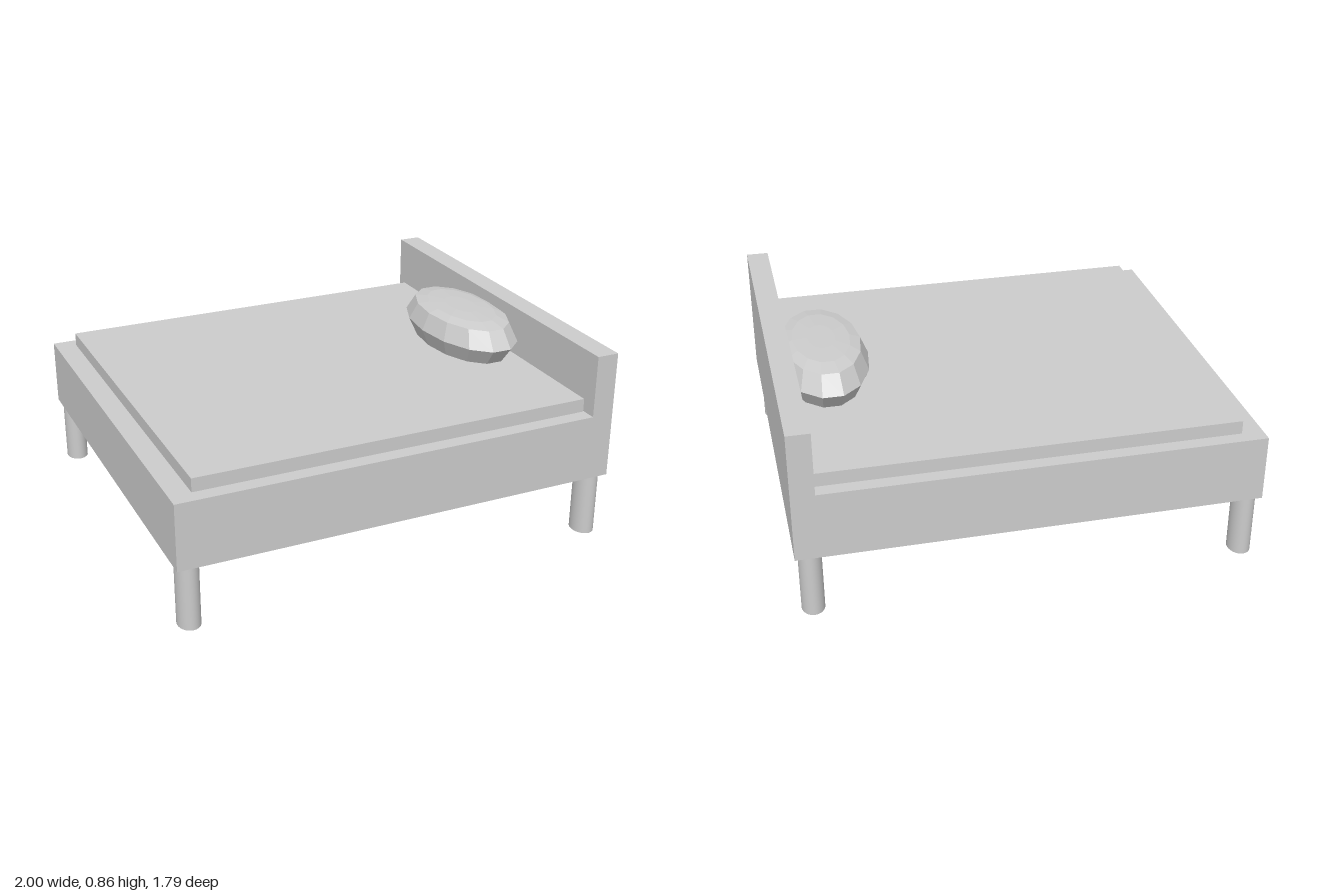
import * as THREE from 'three';

export function createModel() {
  const bed = new THREE.Group();
  bed.name = 'bed';
  const smooth = new THREE.MeshStandardMaterial({ color: 0xcccccc });
  const faceted = new THREE.MeshStandardMaterial({ color: 0xcccccc, flatShading: true });

  // Box given by its lower and upper limits on each axis
  function box(name, [x0, x1], [y0, y1], [z0, z1]) {
    const mesh = new THREE.Mesh(new THREE.BoxGeometry(x1 - x0, y1 - y0, z1 - z0), smooth);
    mesh.position.set((x0 + x1) / 2, (y0 + y1) / 2, (z0 + z1) / 2);
    mesh.name = name;
    bed.add(mesh);
  }
  box('frame', [-1, 1], [0.283, 0.58], [-0.897, 0.897]);
  box('headboard', [0.9, 1], [0.56, 0.86], [-0.897, 0.897]);
  box('mattress', [-0.905, 0.895], [0.54, 0.64], [-0.835, 0.83]);

  // Four legs with an oval section
  const legGeometry = new THREE.CylinderGeometry(1, 1, 0.285, 32);
  legGeometry.scale(0.049, 1, 0.062);
  for (const x of [-0.941, 0.935]) {
    for (const z of [-0.834, 0.834]) {
      const leg = new THREE.Mesh(legGeometry, smooth);
      leg.position.set(x, 0.1425, z);
      leg.name = 'leg';
      bed.add(leg);
    }
  }

  // Faceted pillow: an angular profile turned and stretched into an oval
  const profile = [
    [0, 0.636], [0.83, 0.638], [1, 0.72], [0.84, 0.8],
    [0.62, 0.815], [0.3, 0.82], [0, 0.82],
  ].map(([r, y]) => new THREE.Vector2(r, y));
  const pillowGeometry = new THREE.LatheGeometry(profile, 14, -Math.PI / 2);
  pillowGeometry.scale(0.205, 1, 0.39);
  const pillow = new THREE.Mesh(pillowGeometry, faceted);
  pillow.position.x = 0.752;
  pillow.name = 'pillow';
  bed.add(pillow);

  return bed;
}
